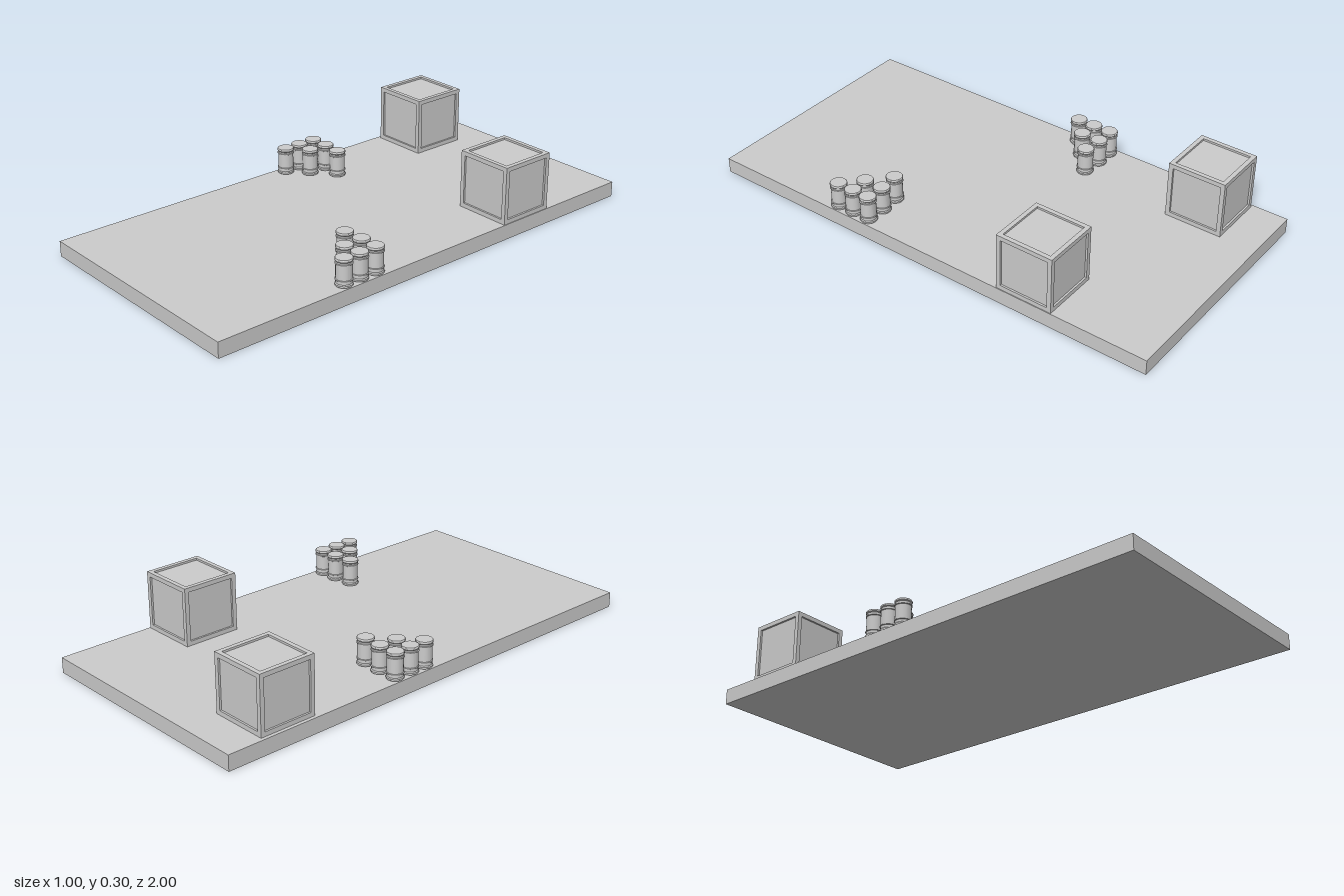
import * as THREE from 'three';
import { toCreasedNormals } from 'three/addons/utils/BufferGeometryUtils.js';

const material = new THREE.MeshStandardMaterial({ color: 0xcccccc });
const DECK = 0.063;

function box(name, w, h, d, x, y, z) {
  const mesh = new THREE.Mesh(new THREE.BoxGeometry(w, h, d), material);
  mesh.name = name;
  mesh.position.set(x, y, z);
  return mesh;
}

// Crate: recessed panels inside a frame of posts and rails
function createCrate(x, z) {
  const size = 0.24, height = 0.237, beam = 0.018, recess = 0.008;
  const crate = new THREE.Group();
  crate.name = 'crate';
  crate.position.set(x, DECK, z);
  crate.add(box('cratePanels', size - 2 * recess, height - 2 * recess, size - 2 * recess, 0, height / 2, 0));
  const edge = (size - beam) / 2, span = size - 2 * beam;
  for (const a of [-1, 1]) {
    for (const b of [-1, 1]) {
      const y = height / 2 + b * (height - beam) / 2;
      crate.add(box('cratePost', beam, height, beam, a * edge, height / 2, b * edge));
      crate.add(box('crateRail', span, beam, beam, 0, y, a * edge));
      crate.add(box('crateRail', beam, beam, span, a * edge, y, 0));
    }
  }
  return crate;
}

// Barrel: lathed drum with end rims and two rolling hoops
const barrelProfile = [
  [0, 0], [0.032, 0], [0.034, 0.003], [0.034, 0.008], [0.031, 0.012],
  [0.031, 0.022], [0.034, 0.0235], [0.034, 0.0265], [0.031, 0.028],
  [0.031, 0.085], [0.034, 0.0865], [0.034, 0.0895], [0.031, 0.091],
  [0.031, 0.097], [0.034, 0.101], [0.034, 0.106], [0.032, 0.109], [0, 0.109],
].map(([r, y]) => new THREE.Vector2(r, y));
const barrelGeometry = toCreasedNormals(new THREE.LatheGeometry(barrelProfile, 24), 0.5);

// Cluster of six barrels: offsets from the deck edge, as x and z
const barrelSpots = [
  [0.463, -0.205], [0.385, -0.207], [0.302, -0.2],
  [0.463, -0.13], [0.387, -0.125], [0.463, -0.057],
];

function createBarrels(name, side, shiftZ) {
  const cluster = new THREE.Group();
  cluster.name = name;
  for (const [x, z] of barrelSpots) {
    const barrel = new THREE.Mesh(barrelGeometry, material);
    barrel.name = 'barrel';
    barrel.position.set(side * x, DECK, z + shiftZ);
    cluster.add(barrel);
  }
  return cluster;
}

export function createModel() {
  const model = new THREE.Group();
  model.name = 'cargoPlatform';
  model.add(box('platform', 1, DECK, 2, 0, DECK / 2, 0));
  model.add(createCrate(-0.366, -0.73), createCrate(0.377, -0.48));
  model.add(createBarrels('rightBarrels', -1, 0), createBarrels('leftBarrels', 1, 0.48));
  return model;
}
